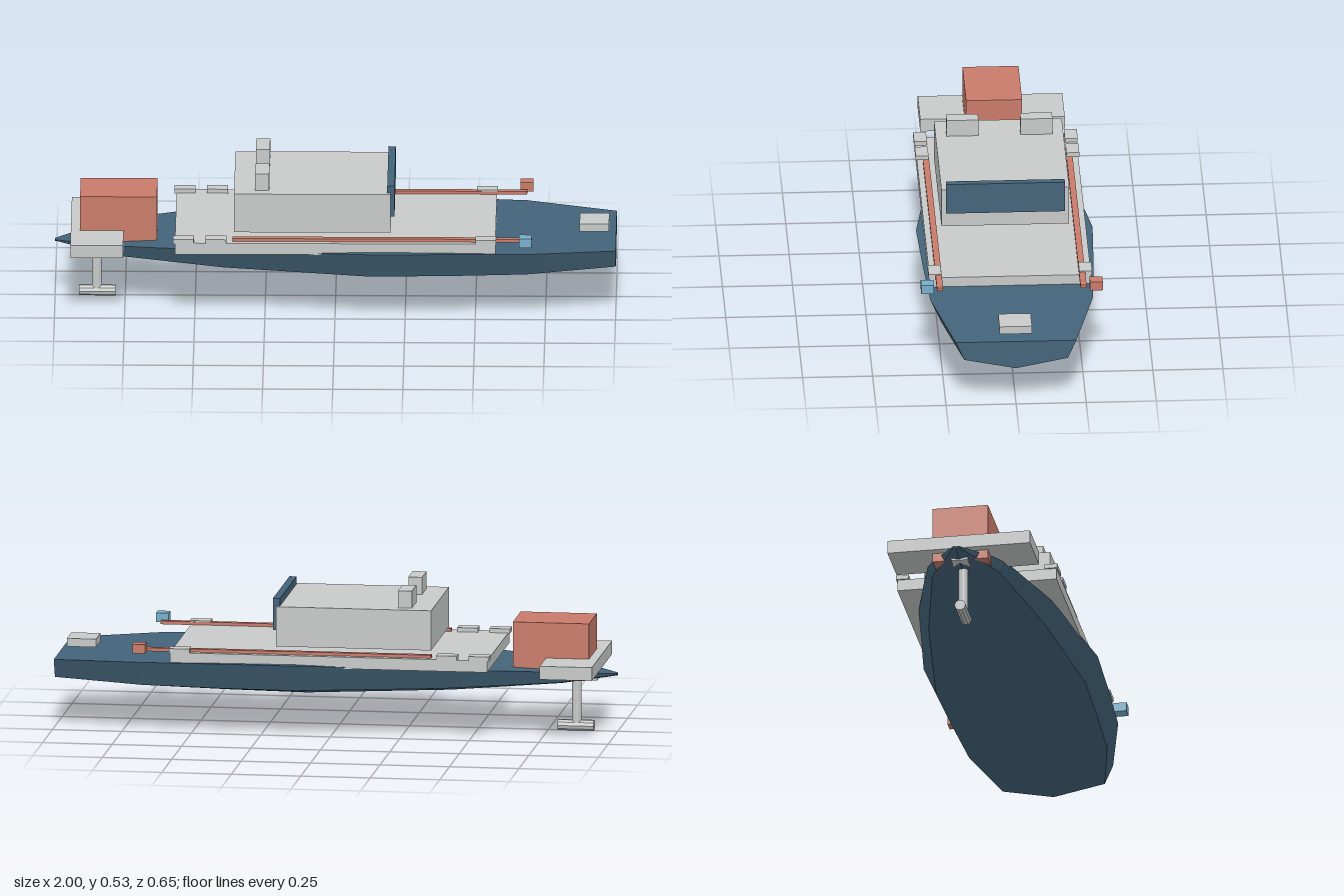
import * as THREE from 'three';

const mat = (name, color) => {
  const m = new THREE.MeshStandardMaterial({ color, flatShading: true });
  m.name = name;
  return m;
};

// Hull lofted from five-point sections: [x, deckHalf, deckY, chineHalf, chineY, keelY]
function hullGeometry() {
  const stations = [
    [-1.0, 0.01, 0.213, 0.008, 0.209, 0.205],
    [-0.8, 0.14, 0.237, 0.12, 0.195, 0.172],
    [-0.4, 0.24, 0.255, 0.205, 0.18, 0.137],
    [0.12, 0.315, 0.268, 0.27, 0.17, 0.113],
    [0.4, 0.305, 0.266, 0.262, 0.17, 0.117],
    [0.68, 0.29, 0.262, 0.25, 0.173, 0.126],
    [1.0, 0.215, 0.25, 0.185, 0.181, 0.144],
  ];
  const rings = stations.map(([x, dw, dy, cw, cy, ky]) => [
    [x, dy, dw], [x, cy, cw], [x, ky, 0], [x, cy, -cw], [x, dy, -dw],
  ]);
  const pos = [];
  const tri = (a, b, c) => pos.push(...a, ...b, ...c);
  for (let i = 0; i < rings.length - 1; i++) {
    for (let j = 0; j < 5; j++) {
      const k = (j + 1) % 5;
      const p = rings[i], q = rings[i + 1];
      tri(p[j], p[k], q[k]);
      tri(p[j], q[k], q[j]);
    }
  }
  // End caps
  const first = rings[0], last = rings[rings.length - 1];
  for (let j = 1; j < 4; j++) {
    tri(last[0], last[j], last[j + 1]);
    tri(first[0], first[j + 1], first[j]);
  }
  const g = new THREE.BufferGeometry();
  g.setAttribute('position', new THREE.Float32BufferAttribute(pos, 3));
  g.computeVertexNormals();
  return g;
}

export function createModel() {
  const boat = new THREE.Group();
  boat.name = 'boat';
  const grey = mat('light grey', 0xc8caca);
  const navy = mat('slate blue', 0x44647a);
  const coral = mat('coral red', 0xc97b6a);
  const sky = mat('light blue', 0x78afcb);

  const add = (name, geometry, material) => {
    const mesh = new THREE.Mesh(geometry, material);
    mesh.name = name;
    boat.add(mesh);
    return mesh;
  };
  // Box given by its extents on each axis
  const box = (name, material, [x0, x1], [y0, y1], [z0, z1]) =>
    add(name, new THREE.BoxGeometry(x1 - x0, y1 - y0, z1 - z0), material)
      .position.set((x0 + x1) / 2, (y0 + y1) / 2, (z0 + z1) / 2);

  add('hull', hullGeometry(), navy);
  box('deck', grey, [-0.57, 0.572], [0.258, 0.3], [-0.288, 0.288]);
  box('cabin', grey, [-0.36, 0.198], [0.321, 0.465], [-0.228, 0.228]);
  box('windscreen', navy, [0.186, 0.212], [0.377, 0.492], [-0.212, 0.212]);
  box('bowHatch', grey, [0.87, 0.975], [0.268, 0.297], [-0.058, 0.058]);

  // Stern machinery
  box('engineCover', coral, [-0.91, -0.636], [0.2, 0.408], [-0.1, 0.1]);
  box('sternPlatform', grey, [-0.943, -0.755], [0.232, 0.28], [-0.258, 0.258]);
  box('driveBracket', grey, [-0.93, -0.84], [0.19, 0.234], [-0.03, 0.03]);
  add('driveLeg', new THREE.CylinderGeometry(0.017, 0.017, 0.2, 12), grey)
    .position.set(-0.852, 0.13, 0);
  const pod = add('drivePod', new THREE.CylinderGeometry(0.02, 0.02, 0.13, 10), grey);
  pod.rotation.z = Math.PI / 2;
  pod.position.set(-0.85, 0.021, 0);

  // Mirrored fittings
  for (const s of [1, -1]) {
    const side = s > 0 ? 'Front' : 'Back';
    const z = (a, b) => (s > 0 ? [a, b] : [-b, -a]);
    box('roofVent' + side, grey, [-0.285, -0.235], [0.465, 0.527], z(0.075, 0.189));
    box('rail' + side, coral, [-0.365, 0.68], [0.299, 0.311], z(0.245, 0.267));
    box('navLight' + side, s > 0 ? sky : coral, [0.656, 0.702], [0.3, 0.333], z(0.278, 0.324));
    [-0.54, -0.424, 0.538].forEach((x, i) =>
      box('cleat' + side + (i + 1), grey, [x - 0.037, x + 0.037], [0.299, 0.315], z(0.246, 0.292)));
  }
  return boat;
}
